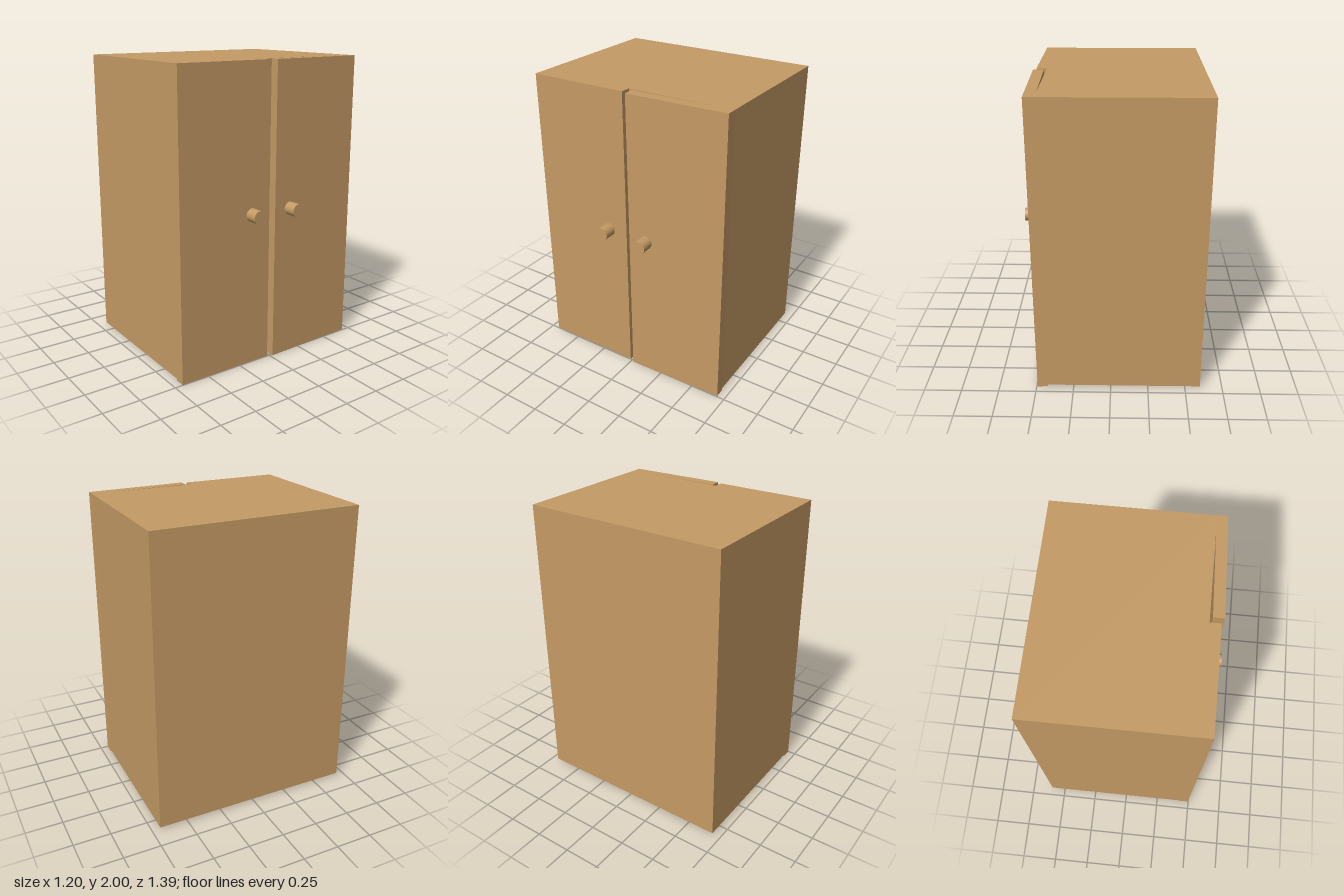
import * as THREE from 'three';

const wood = new THREE.MeshStandardMaterial({ color: 0xc49a64 });
wood.name = 'wood';

const BACK = -0.6, FRONT = 0.427, HALF = 0.695, BOTTOM = 0.014, TOP = 2;
const WALL = 0.05, DOOR = 0.07, DOOR_WIDTH = 0.679;

function add(parent, name, geometry, x = 0, y = 0, z = 0) {
  const mesh = new THREE.Mesh(geometry, wood);
  mesh.name = name;
  mesh.position.set(x, y, z);
  parent.add(mesh);
  return mesh;
}

// Door hung on its outer edge; dir is the z direction towards the middle
function makeDoor(name, dir, knobOffset, x, angle) {
  const door = new THREE.Group();
  door.name = name;
  add(door, name + 'Panel', new THREE.BoxGeometry(DOOR, TOP, DOOR_WIDTH),
    DOOR / 2, TOP / 2, dir * DOOR_WIDTH / 2);
  const knob = add(door, name + 'Knob', new THREE.CylinderGeometry(0.044, 0.044, 0.086, 32),
    DOOR + 0.043, 1.03, dir * knobOffset);
  knob.rotation.z = -Math.PI / 2;
  door.position.set(x, 0, -dir * HALF);
  door.rotation.y = angle;
  return door;
}

export function createModel() {
  const group = new THREE.Group();
  group.name = 'cabinet';

  // Hollow carcass: top, bottom and sides as one frame
  const frame = new THREE.Shape();
  frame.moveTo(-HALF, BOTTOM).lineTo(HALF, BOTTOM).lineTo(HALF, TOP).lineTo(-HALF, TOP).closePath();
  const inner = HALF - WALL, low = BOTTOM + 0.04, high = TOP - WALL;
  const opening = new THREE.Path();
  opening.moveTo(-inner, low).lineTo(-inner, high).lineTo(inner, high).lineTo(inner, low).closePath();
  frame.holes.push(opening);
  const carcass = new THREE.ExtrudeGeometry(frame, { depth: FRONT - BACK, bevelEnabled: false });
  carcass.rotateY(Math.PI / 2);
  add(group, 'carcass', carcass, BACK);

  // Back panel fills the frame
  add(group, 'backPanel', new THREE.BoxGeometry(WALL, high - low, inner * 2),
    BACK + WALL / 2, (low + high) / 2, 0);

  // One closed door and one slightly open door
  group.add(makeDoor('closedDoor', -1, 0.538, FRONT, 0));
  group.add(makeDoor('openDoor', 1, 0.553, 0.424, 0.03));
  return group;
}
